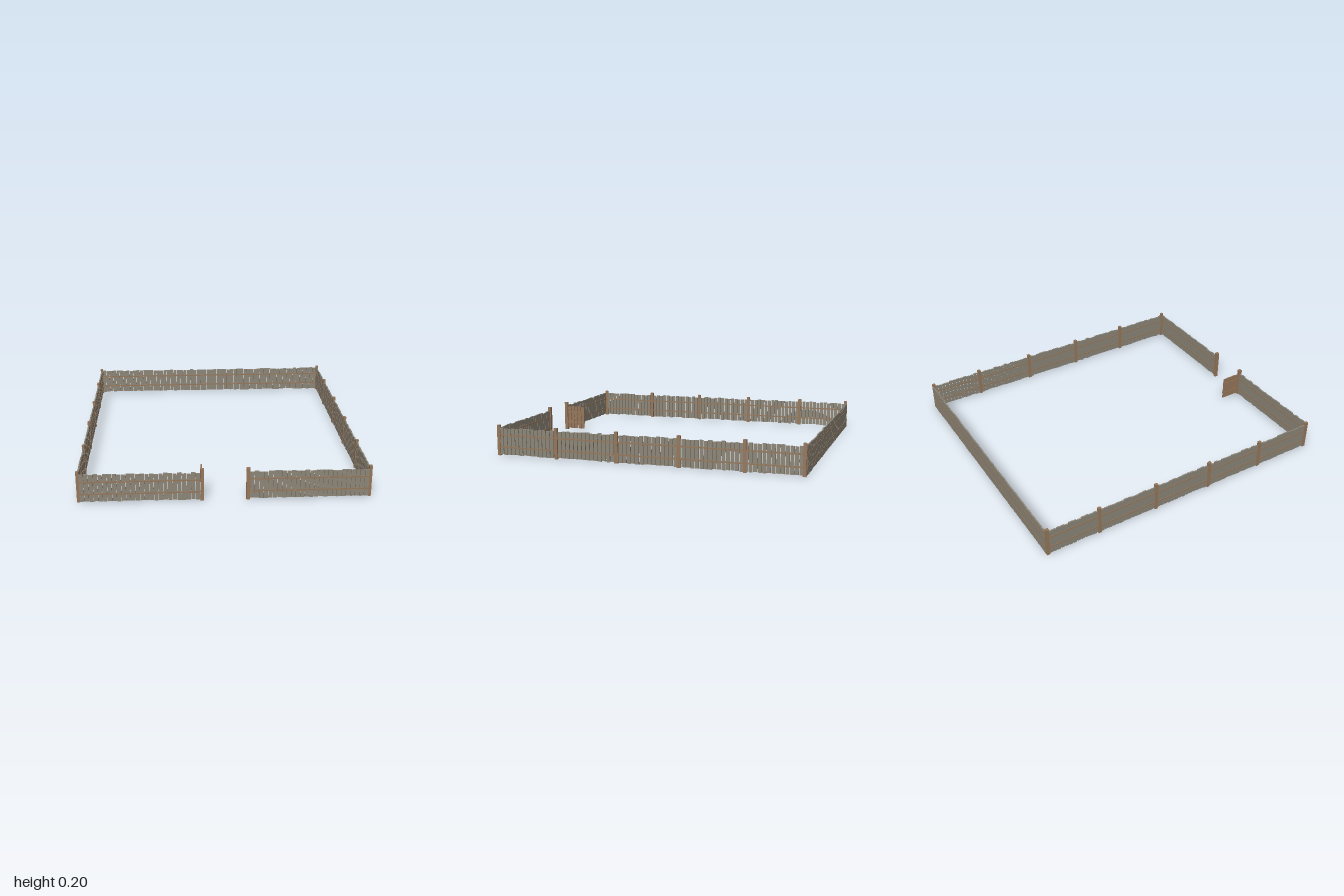
import * as THREE from 'three';

export function createModel() {
  const root = new THREE.Group();
  root.name = 'fencedYard';
  const mat = (name, color) => {
    const m = new THREE.MeshStandardMaterial({ color });
    m.name = name;
    return m;
  };
  const greyWood = mat('weatheredWood', 0x8d8678);
  const brownWood = mat('brownWood', 0x96775a);

  let seed = 7;
  const rand = () => {
    seed = (seed * 16807) % 2147483647;
    return seed / 2147483647;
  };

  function box(parent, name, size, pos, material) {
    const m = new THREE.Mesh(new THREE.BoxGeometry(...size), material);
    m.position.set(...pos);
    m.name = name;
    parent.add(m);
    return m;
  }

  // straight run of planks along local x, with two rails
  function fence(name, length, x, z, turn, fill) {
    const g = new THREE.Group();
    g.name = name;
    const count = Math.round(length / 0.027);
    const pitch = length / count;
    for (let i = 0; i < count; i++) {
      const bottom = 0.003 + rand() * 0.006;
      const top = 0.172 + rand() * 0.009;
      box(g, 'plank', [pitch * fill, top - bottom, 0.009],
        [-length / 2 + (i + 0.5) * pitch, (top + bottom) / 2, 0], greyWood);
    }
    for (const y of [0.054, 0.131])
      box(g, 'rail', [length, 0.008, 0.014], [0, y, 0], brownWood);
    g.position.set(x, 0, z);
    g.rotation.y = turn;
    root.add(g);
  }

  fence('backFence', 1.72, 0, -0.993, 0, 0.93);
  for (const s of [-1, 1]) {
    fence(s > 0 ? 'leftFence' : 'rightFence', 1.95, s * 0.865, -0.005, s * Math.PI / 2, 0.85);
    fence(s > 0 ? 'frontLeftFence' : 'frontRightFence', 0.71, s * 0.502, 0.986, 0, 0.93);

    // posts along each side
    for (const z of [-0.985, -0.635, -0.23, 0.172, 0.576, 0.975])
      box(root, 'sidePost', [0.018, 0.196, 0.021], [s * 0.865, 0.098, z], brownWood);
    // taller posts beside the entrance
    box(root, 'gatePost', [0.022, 0.203, 0.022], [s * 0.136, 0.1015, 0.988], brownWood);
  }

  // open gate, swung inwards
  const gate = new THREE.Group();
  gate.name = 'gate';
  const planks = 5, width = 0.132, pitch = width / planks;
  for (let i = 0; i < planks; i++) {
    const h = 0.158 + rand() * 0.008;
    box(gate, 'gatePlank', [pitch * 0.85, h, 0.007],
      [(i + 0.5) * pitch, 0.01 + h / 2, 0], brownWood);
  }
  for (const y of [0.054, 0.131])
    box(gate, 'gateRail', [width, 0.012, 0.012], [width / 2, y, 0], brownWood);
  const brace = box(gate, 'gateBrace', [0.145, 0.01, 0.01], [width / 2, 0.0925, 0], brownWood);
  brace.rotation.z = Math.atan2(0.077, width);
  gate.position.set(-0.136, 0, 0.977);
  gate.rotation.y = Math.PI / 2;
  root.add(gate);

  return root;
}
